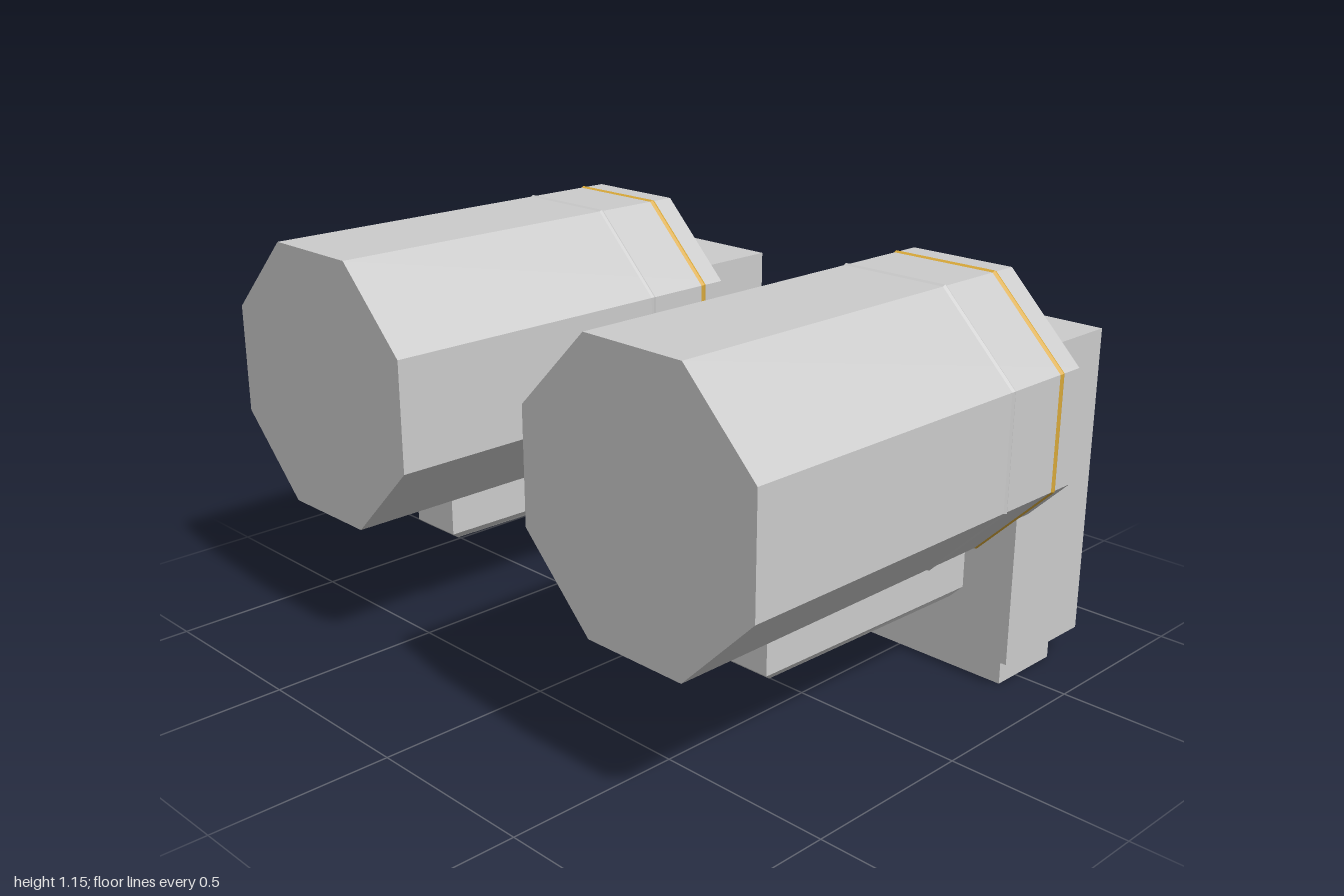
import * as THREE from 'three';

const grey = new THREE.MeshStandardMaterial({ color: 0xcccccc, flatShading: true });
const gold = new THREE.MeshStandardMaterial({ color: 0xd9a93a, flatShading: true });

const CX = 0.62, CY = 0.774;          // barrel axis
const APOTHEM = 0.374;                // barrel centre to flat side
const corner = (a) => a / Math.cos(Math.PI / 8);

function add(parent, name, geometry, material, x, y, z) {
  const mesh = new THREE.Mesh(geometry, material);
  mesh.name = name;
  mesh.position.set(x, y, z);
  parent.add(mesh);
  return mesh;
}

// Box given by its limits
function addBox(parent, name, x0, x1, y0, y1, z0, z1) {
  return add(parent, name, new THREE.BoxGeometry(x1 - x0, y1 - y0, z1 - z0), grey,
    (x0 + x1) / 2, (y0 + y1) / 2, (z0 + z1) / 2);
}

// Octagonal ridge with a shallow triangular section
function addBand(parent, name, z, halfWidth, material) {
  const profile = [
    new THREE.Vector2(corner(APOTHEM - 0.002), -halfWidth),
    new THREE.Vector2(corner(APOTHEM + 0.004), 0),
    new THREE.Vector2(corner(APOTHEM - 0.002), halfWidth),
  ];
  const geo = new THREE.LatheGeometry(profile, 8, Math.PI / 8).rotateX(Math.PI / 2);
  add(parent, name, geo, material, CX, CY, z);
}

// Rail: narrower toward the front, with a chamfered underside
function railGeometry() {
  const zBack = -0.395, zFront = 0.37, top = 0.40, bottom = 0.237;
  const geo = new THREE.BoxGeometry(2, 1, 2, 1, 3, 1);
  const p = geo.attributes.position;
  const levels = [bottom, 0.26, 0.39, top];
  for (let i = 0; i < p.count; i++) {
    const level = Math.round((p.getY(i) + 0.5) * 3);
    const front = p.getZ(i) > 0;
    const inset = [0.03, 0, 0, 0.008][level];
    const half = (front ? 0.084 : 0.103) - inset * 0.6;
    p.setXYZ(i, Math.sign(p.getX(i)) * half, levels[level],
      front ? zFront - inset : zBack + inset);
  }
  geo.computeVertexNormals();
  return geo;
}

function buildUnit(side) {
  const unit = new THREE.Group();
  unit.name = side > 0 ? 'leftCannon' : 'rightCannon';

  // Octagonal barrel lying along z
  const barrel = new THREE.CylinderGeometry(corner(APOTHEM), corner(APOTHEM), 1.175, 8, 1, false, Math.PI / 8)
    .rotateX(Math.PI / 2);
  add(unit, 'barrel', barrel, grey, CX, CY, 0.1425);
  addBand(unit, 'frontBand', -0.165, 0.011, grey);
  addBand(unit, 'goldBand', -0.37, 0.013, gold);

  // Rear block with its foot, and the rail under the barrel
  addBox(unit, 'rearBlock', 0.343, 0.878, 0.08, 0.952, -0.73, -0.395);
  addBox(unit, 'foot', 0.38, 0.842, 0, 0.08, -0.655, -0.423);
  add(unit, 'lowerRail', railGeometry(), grey, CX, 0, 0);
  return unit;
}

// Mirror positions only: every part is symmetric about its own centre
function mirror(unit) {
  for (const part of unit.children) part.position.x *= -1;
  return unit;
}

export function createModel() {
  const model = new THREE.Group();
  model.name = 'twinCannons';
  model.add(buildUnit(1), mirror(buildUnit(-1)));
  return model;
}
